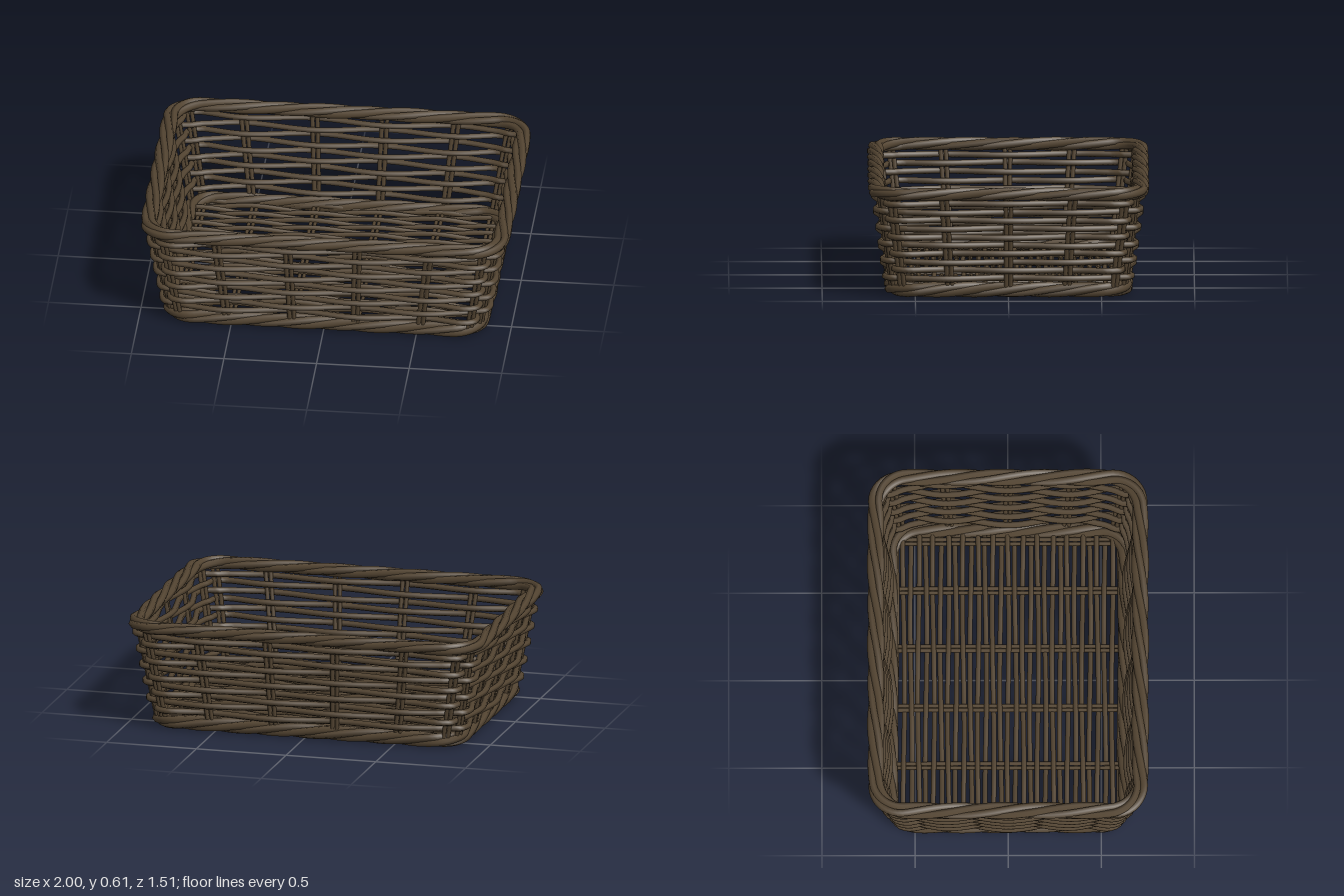
import * as THREE from 'three';

const HALF_W = 0.905, HALF_D = 0.675, CORNER = 0.15; // outline at mid height
const A = HALF_W - CORNER, B = HALF_D - CORNER, ARC = CORNER * Math.PI / 2;
const QUARTER = A + ARC + B, LOOP = QUARTER * 4;

// Stake positions as lengths along the outline, starting at the front centre
const STAKES = [];
for (const centre of [0, 2 * QUARTER]) for (const d of [-0.83, -0.55, -0.18, 0.18, 0.55, 0.83]) STAKES.push(centre + d);
for (const centre of [QUARTER, 3 * QUARTER]) for (const d of [-0.603, -0.33, 0, 0.33, 0.603]) STAKES.push(centre + d);
STAKES.sort((a, b) => a - b);

// Curve given by a function of t in 0..1
class PathCurve extends THREE.Curve {
  constructor(fn) { super(); this.fn = fn; }
  getPoint(t, target = new THREE.Vector3()) { return target.set(...this.fn(t)); }
  getPointAt(t, target) { return this.getPoint(t, target); }
  getTangentAt(t, target) { return this.getTangent(t, target); }
}

// Rounded rectangle: position and outward normal at length l
function outline(l) {
  l = ((l % LOOP) + LOOP) % LOOP;
  const half = l > 2 * QUARTER;
  if (half) l -= 2 * QUARTER;
  const mirror = l > QUARTER;
  if (mirror) l = 2 * QUARTER - l;
  let x, z, nx, nz;
  if (l < A) [x, z, nx, nz] = [l, HALF_D, 0, 1];
  else if (l < A + ARC) {
    const a = (l - A) / CORNER;
    nx = Math.sin(a); nz = Math.cos(a);
    x = A + CORNER * nx; z = B + CORNER * nz;
  } else [x, z, nx, nz] = [HALF_W, QUARTER - l, 1, 0];
  if (mirror) { z = -z; nz = -nz; }
  return half ? { x: -x, z: -z, nx: -nx, nz: -nz } : { x, z, nx, nz };
}

// Walls flare outwards towards the rim
const flare = (y) => 0.955 + (y - 0.08) / 0.46 * 0.09;

function onWall(l, y, out, scale = flare(y)) {
  const p = outline(l);
  return [p.x * scale + p.nx * out, y, p.z * scale + p.nz * out];
}

// +1 / -1 at successive stakes, eased in between
function weave(v, stops) {
  let k = 0;
  while (k < stops.length - 1 && v >= stops[k + 1]) k++;
  const next = k + 1 < stops.length ? stops[k + 1] : stops[0] + LOOP;
  return Math.cos(Math.PI * (k + (v - stops[k]) / (next - stops[k])));
}

export function createModel() {
  const wicker = new THREE.MeshStandardMaterial({ color: 0x544532, side: THREE.DoubleSide });
  wicker.name = 'dark wicker';
  const basket = new THREE.Group();
  basket.name = 'basket';

  const part = (name) => {
    const g = new THREE.Group();
    g.name = name;
    basket.add(g);
    return g;
  };
  const strand = (parent, name, fn, segments, radius, closed = false) => {
    const mesh = new THREE.Mesh(new THREE.TubeGeometry(new PathCurve(fn), segments, radius, 6, closed), wicker);
    mesh.name = name;
    parent.add(mesh);
  };

  // Horizontal wall strands passing alternately outside and inside the stakes
  const walls = part('wallWeave');
  for (let row = 0; row < 10; row++) {
    const y0 = 0.106 + row * 0.046, side = row % 2 ? 1 : -1;
    strand(walls, 'wallStrand', (t) => {
      const l = STAKES[0] + t * LOOP * 0.999999;
      const y = y0 + 0.003 * Math.sin(t * Math.PI * 6 + row * 2.1);
      return onWall(l, y, 0.02 * side * weave(l, STAKES));
    }, 260, 0.0172, true);
  }

  // Paired upright stakes
  const uprights = part('wallStakes');
  for (const l of STAKES) for (const d of [-0.013, 0.013]) {
    strand(uprights, 'wallStake', (t) => onWall(l + d, 0.04 + t * 0.53, 0), 6, 0.012);
  }

  // Twisted ropes around the rim and the foot
  const rope = (name, y, scale, wide, tall, radius, turns) => {
    const g = part(name);
    for (let i = 0; i < 4; i++) {
      strand(g, 'ropeStrand', (t) => {
        const a = Math.PI * 2 * (t * turns + i / 4);
        return onWall(t * LOOP, y + tall * Math.sin(a), wide * Math.cos(a), scale);
      }, 260, radius, true);
    }
  };
  rope('rimBraid', 0.575, 1.052, 0.026, 0.016, 0.021, 7);
  rope('footBraid', 0.043, 0.932, 0.02, 0.02, 0.022, 7);

  // Floor strands woven along x over paired cross stakes
  const floor = part('floorWeave');
  const floorStakes = [-0.78, -0.5, -0.17, 0.17, 0.5, 0.78];
  const stops = [-1.1, ...floorStakes, 1.1];
  for (let i = 0; i < 31; i++) {
    const z0 = (i - 15) * 0.04, side = i % 2 ? 1 : -1;
    strand(floor, 'floorStrand', (t) => {
      const x = (t * 2 - 1) * 0.815;
      const z = z0 + 0.005 * Math.sin(x * 4 + i * 1.7);
      return [x, 0.036 + 0.012 * side * weave(x, stops), z];
    }, 48, 0.0135);
  }
  const crossStakes = part('floorStakes');
  for (const x of floorStakes) for (const d of [-0.012, 0.012]) {
    strand(crossStakes, 'floorStake', (t) => [x + d, 0.036, (t * 2 - 1) * 0.63], 4, 0.011);
  }

  return basket;
}
